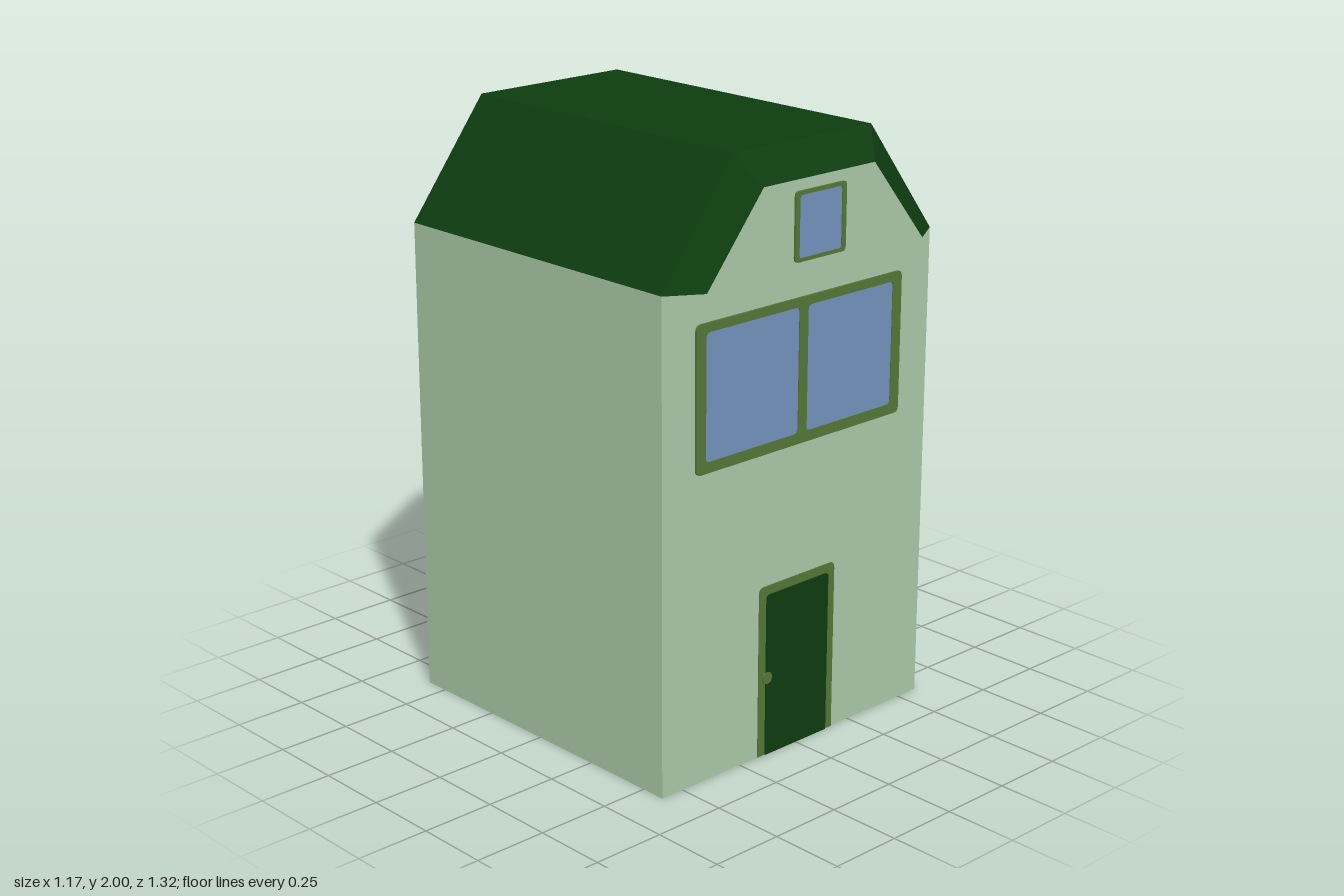
import * as THREE from 'three';

const mat = (name, color) => {
  const m = new THREE.MeshStandardMaterial({ color });
  m.name = name;
  return m;
};

const HALF = 0.585;   // half width and depth of the walls
const EAVES = 1.62;   // top of the walls
const GABLE_Z = 0.655; // overhanging gable plane

// Rounded rectangle drawn into a Shape or Path
function roundRect(path, x0, y0, x1, y1, r) {
  path.moveTo(x0 + r, y0);
  path.lineTo(x1 - r, y0);
  path.quadraticCurveTo(x1, y0, x1, y0 + r);
  path.lineTo(x1, y1 - r);
  path.quadraticCurveTo(x1, y1, x1 - r, y1);
  path.lineTo(x0 + r, y1);
  path.quadraticCurveTo(x0, y1, x0, y1 - r);
  path.lineTo(x0, y0 + r);
  path.quadraticCurveTo(x0, y0, x0 + r, y0);
  return path;
}

export function createModel() {
  const wall = mat('wall green', 0xabc9a8);
  const dark = mat('dark green', 0x0e3d10);
  const trim = mat('trim olive', 0x557736);
  const glass = mat('glass blue', 0x7494be);

  const model = new THREE.Group();
  model.name = 'house';
  const add = (parent, name, geometry, material, x = 0, y = 0, z = 0) => {
    const mesh = new THREE.Mesh(geometry, material);
    mesh.name = name;
    mesh.position.set(x, y, z);
    parent.add(mesh);
    return mesh;
  };
  const plate = (shape, depth) =>
    new THREE.ExtrudeGeometry(shape, { depth, bevelEnabled: false, curveSegments: 4 });

  // Framed opening: a thin frame with holes, and a thinner panel in each hole
  function opening(name, outer, panes, fill, z, r) {
    const group = new THREE.Group();
    group.name = name;
    group.position.z = z;
    const frame = roundRect(new THREE.Shape(), ...outer, r);
    for (const p of panes) {
      frame.holes.push(roundRect(new THREE.Path(), ...p, r * 0.8));
      add(group, name + 'Panel', plate(roundRect(new THREE.Shape(), ...p, r * 0.8), 0.004), fill);
    }
    add(group, name + 'Frame', plate(frame, 0.007), trim);
    return group;
  }

  // Walls, with a dark underside (box face order: +x -x +y -y +z -z)
  add(model, 'walls', new THREE.BoxGeometry(HALF * 2, EAVES, HALF * 2),
    [wall, wall, wall, dark, wall, wall], 0, EAVES / 2, 0);

  // Roof: trapezoid sections, narrowing to the gable at each end
  const section = (bottom, top, height, z) =>
    [[-bottom, EAVES, z], [bottom, EAVES, z], [top, height, z], [-top, height, z]];
  const sections = [
    section(0.47, 0.24, 1.9, -GABLE_Z),
    section(HALF, 0.295, 2, -HALF),
    section(HALF, 0.295, 2, HALF),
    section(0.47, 0.24, 1.9, GABLE_Z),
  ];
  const points = [];
  for (let s = 0; s < 3; s++) {
    for (let i = 0; i < 4; i++) {
      const j = (i + 1) % 4;
      const [a, b, c, d] = [sections[s][i], sections[s][j], sections[s + 1][j], sections[s + 1][i]];
      points.push(...a, ...b, ...c, ...a, ...c, ...d);
    }
  }
  const roof = new THREE.BufferGeometry();
  roof.setAttribute('position', new THREE.Float32BufferAttribute(points, 3));
  roof.computeVertexNormals();
  add(model, 'roof', roof, dark);

  // Gables close the roof at the front and back
  const gable = new THREE.ShapeGeometry(
    new THREE.Shape(sections[3].map(([x, y]) => new THREE.Vector2(x, y))));
  add(model, 'frontGable', gable, wall, 0, 0, GABLE_Z);
  add(model, 'backGable', gable, wall, 0, 0, -GABLE_Z).rotation.y = Math.PI;

  // Front windows
  model.add(opening('frontWindow', [-0.45, 1.03, 0.45, 1.505],
    [[-0.41, 1.065, -0.013, 1.475], [0.025, 1.065, 0.41, 1.475]], glass, HALF, 0.02));
  model.add(opening('atticWindow', [-0.11, 1.645, 0.11, 1.865],
    [[-0.092, 1.657, 0.092, 1.852]], glass, GABLE_Z, 0.015));

  // Back window, larger and higher
  const back = opening('backWindow', [-0.465, 0.97, 0.465, 1.565],
    [[-0.425, 1.01, -0.02, 1.53], [0.02, 1.01, 0.425, 1.53]], glass, -HALF, 0.025);
  back.rotation.y = Math.PI;
  model.add(back);

  // Door: the frame is open at the threshold
  const door = new THREE.Group();
  door.name = 'door';
  door.position.z = HALF;
  const arch = (path, w, h, r) => {
    path.moveTo(-w, 0);
    path.lineTo(w, 0);
    path.lineTo(w, h - r);
    path.quadraticCurveTo(w, h, w - r, h);
    path.lineTo(-w + r, h);
    path.quadraticCurveTo(-w, h, -w, h - r);
    path.closePath();
    return path;
  };
  add(door, 'doorFrame', plate(arch(new THREE.Shape(), 0.17, 0.585, 0.02), 0.003), trim);
  add(door, 'doorPanel', plate(arch(new THREE.Shape(), 0.14, 0.555, 0.015), 0.006), dark);
  const knob = new THREE.CylinderGeometry(0.021, 0.021, 0.009, 8).rotateX(Math.PI / 2);
  add(door, 'doorKnob', knob, trim, -0.135, 0.27, 0.0045);
  model.add(door);

  return model;
}
